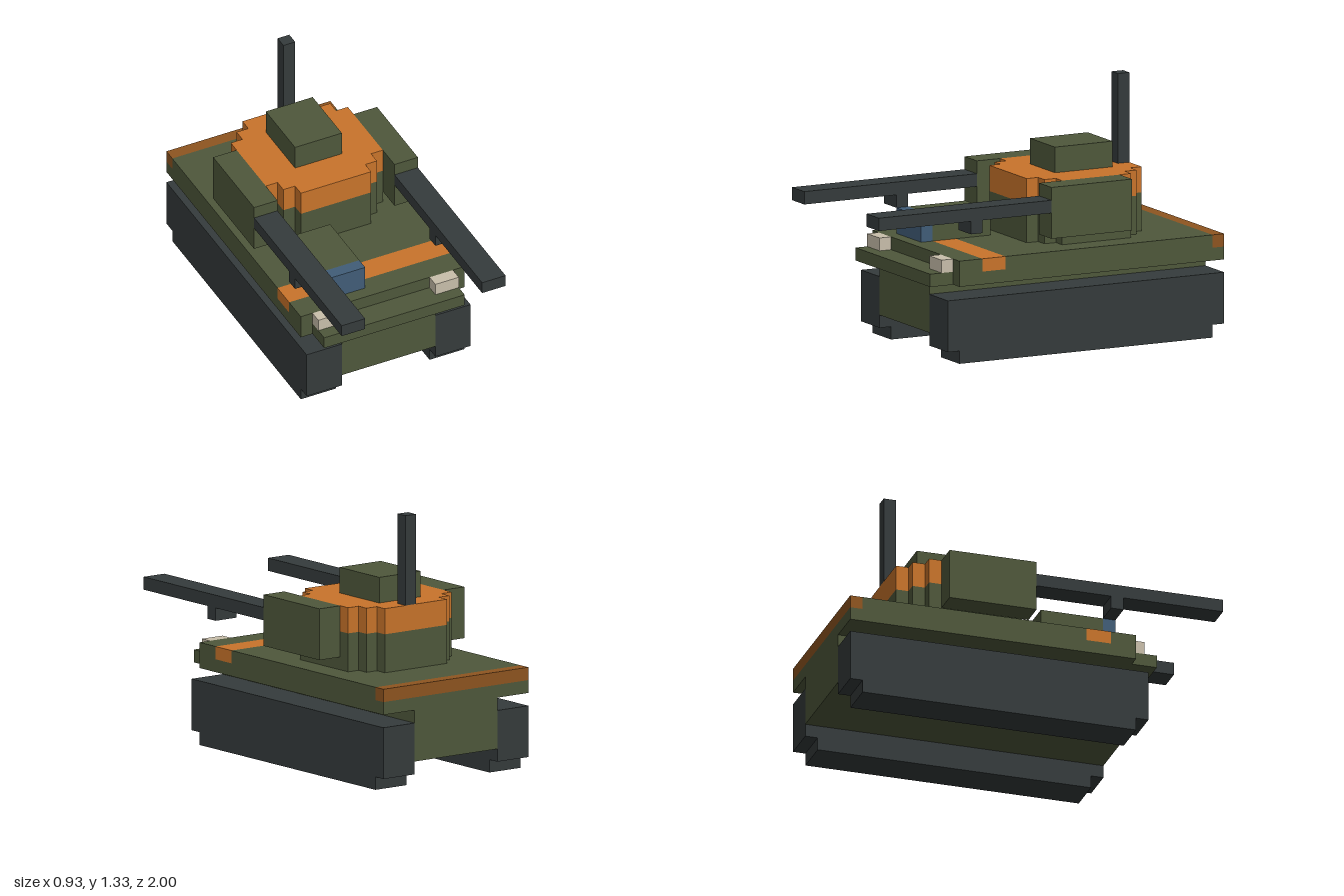
import * as THREE from 'three';

const U = 1 / 15; // one block of the grid

const material = (name, color) => {
  const m = new THREE.MeshStandardMaterial({ color });
  m.name = name;
  return m;
};

export function createModel() {
  const olive = material('olive green', 0x4f583b);
  const dark = material('dark steel', 0x353b3c);
  const orange = material('orange', 0xc9742b);
  const rust = material('rust', 0x8f5520);
  const blue = material('blue glass', 0x415d78);
  const cream = material('cream', 0xc9bfab);

  const model = new THREE.Group();
  model.name = 'tank';

  const add = (name, geometry, mat, parent) => {
    const mesh = new THREE.Mesh(geometry, mat);
    mesh.name = name;
    parent.add(mesh);
    return mesh;
  };

  // Box given by its limits in blocks
  const block = (name, mat, [x0, x1], [y0, y1], [z0, z1], parent = model) => {
    const g = new THREE.BoxGeometry((x1 - x0) * U, (y1 - y0) * U, (z1 - z0) * U);
    const mesh = add(name, g, mat, parent);
    mesh.position.set((x0 + x1) / 2 * U, (y0 + y1) / 2 * U, (z0 + z1) / 2 * U);
  };

  // The same box on both sides
  const pair = (name, mat, [x0, x1], y, z, parent) => {
    block(name + 'Left', mat, [x0, x1], y, z, parent);
    block(name + 'Right', mat, [-x1, -x0], y, z, parent);
  };

  // Hull and tracks
  block('lowerHull', olive, [-4, 4], [2, 6], [-15, 9]);
  pair('track', dark, [4, 7], [1, 5], [-15, 9]);
  pair('trackFoot', dark, [4, 7], [0, 1], [-14, 8]);

  // Deck with its coloured bands
  const deck = new THREE.Group();
  deck.name = 'deck';
  model.add(deck);
  block('deckBase', olive, [-7, 7], [6, 7], [-15, 8], deck);
  block('rearBand', rust, [-7, 7], [7, 8], [-15, -14], deck);
  block('deckTop', olive, [-7, 7], [7, 8], [-14, 4], deck);
  block('frontBand', orange, [-7, 7], [7, 8], [4, 6], deck);
  block('deckNose', olive, [-7, 7], [7, 8], [6, 8], deck);
  block('bumper', olive, [-6, 6], [6, 7], [8, 10], deck);
  pair('headlight', cream, [4, 6], [7, 8], [8, 9], deck);

  // Driver's cab
  block('cab', olive, [-5, -1], [8, 10], [1, 6]);
  block('windscreen', blue, [-5, -1], [8, 10], [6, 7]);

  // Turret: stepped round outline, one quarter mirrored to the others
  const turret = new THREE.Group();
  turret.name = 'turret';
  model.add(turret);
  const quarter = [[5, 3], [4, 3], [4, 4], [3, 4], [3, 5]];
  const half = [...quarter, ...quarter.map(([x, y]) => [-x, y]).reverse()];
  const outline = [...half, ...half.map(([x, y]) => [-x, -y])];
  const shape = new THREE.Shape(outline.map(([x, y]) => new THREE.Vector2(x * U, (y + 5) * U)));
  const slab = (name, mat, y0, y1) => {
    const g = new THREE.ExtrudeGeometry(shape, { depth: (y1 - y0) * U, bevelEnabled: false });
    g.rotateX(-Math.PI / 2);
    add(name, g, mat, turret).position.y = y0 * U;
  };
  slab('turretBase', olive, 8, 11);
  slab('turretCap', orange, 11, 13);
  block('hatch', olive, [-2, 2], [13, 15], [-8, -3], turret);
  block('antenna', dark, [0, 1], [13, 20], [-10, -9], turret);

  // Side guns
  pair('gunHousing', olive, [5, 7], [9, 13], [-7, 0], turret);
  pair('barrel', dark, [5, 7], [11, 12], [0, 15], turret);
  pair('barrelLug', dark, [5, 7], [10, 11], [6, 7], turret);

  return model;
}
